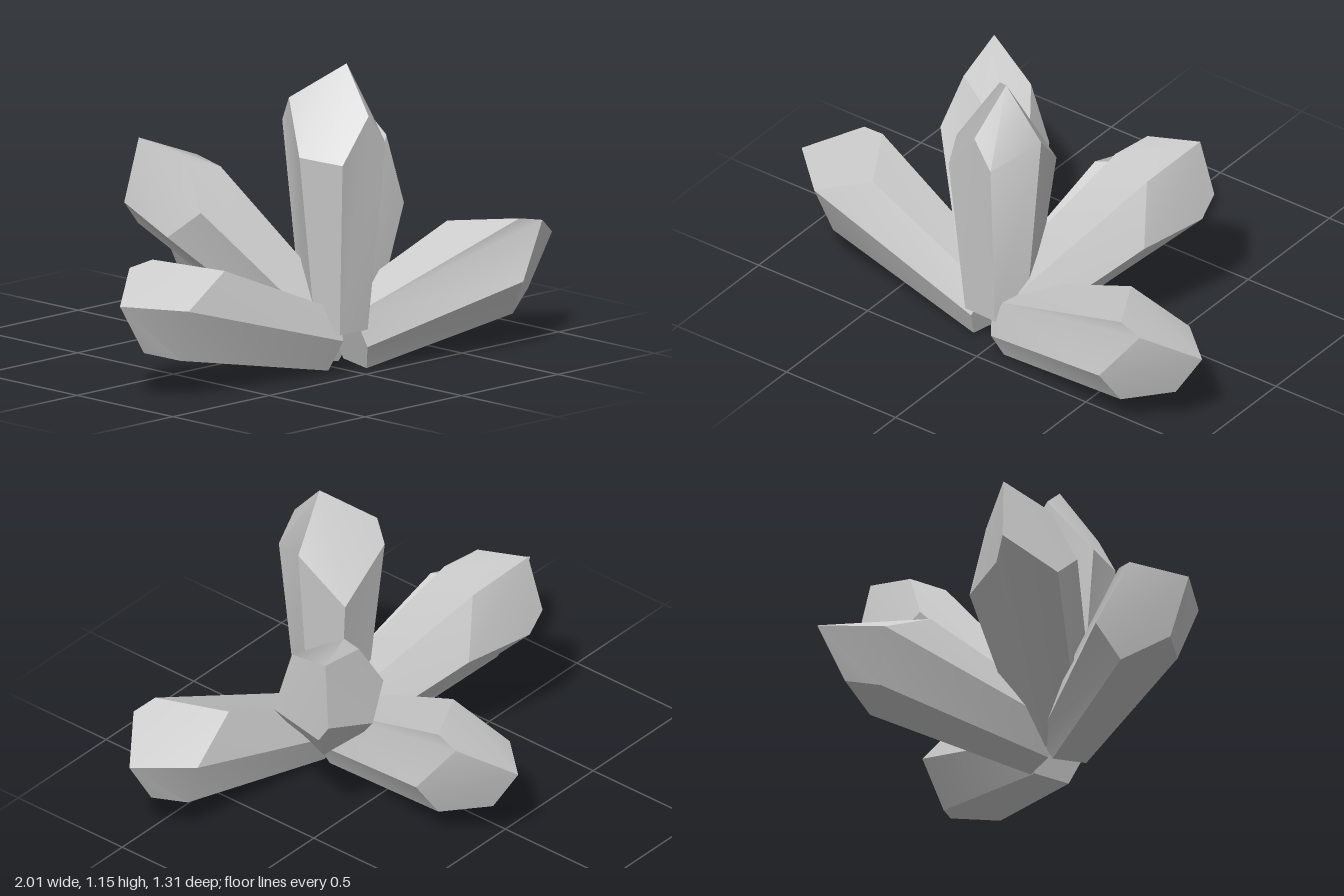
import * as THREE from 'three';
import { toCreasedNormals } from 'three/addons/utils/BufferGeometryUtils.js';

// One hexagonal crystal growing along +y from its root, ending in a three-sided point
function crystalGeometry() {
  const p = {
    tip: [0.035, 1.047, 0.02],
    // shoulders where the three ridges from the tip end
    ridgeRight: [0.18, 0.84, 0], ridgeFront: [0, 0.877, 0.17], ridgeBack: [-0.11, 0.917, -0.135],
    // other upper corners
    fr: [0.08, 0.765, 0.178], fl: [-0.125, 0.707, 0.16], l: [-0.2, 0.727, 0.01],
    bl: [-0.1, 0.825, -0.18], br: [0.12, 0.655, -0.175],
    // narrow foot
    footR: [0.112, 0.055, 0], footFR: [0.052, 0.055, 0.113], footFL: [-0.088, 0.055, 0.108],
    footL: [-0.117, 0.055, 0.01], footBL: [-0.065, 0.055, -0.11], footBR: [0.07, 0.055, -0.11],
  };
  const faces = [
    'tip ridgeRight br bl ridgeBack', 'tip ridgeBack l fl ridgeFront', 'tip ridgeFront fr ridgeRight',
    'footFL footFR fr ridgeFront fl', 'footFR footR ridgeRight fr', 'footR footBR br ridgeRight',
    'footBR footBL bl br', 'footBL footL l ridgeBack bl', 'footL footFL fl l',
    'footR footFR footFL footL footBL footBR',
  ];
  const positions = [];
  for (const face of faces) {
    const c = face.split(' ').map((name) => p[name]);
    for (let i = 1; i < c.length - 1; i++) positions.push(...c[0], ...c[i], ...c[i + 1]);
  }
  const geometry = new THREE.BufferGeometry();
  geometry.setAttribute('position', new THREE.Float32BufferAttribute(positions, 3));
  return toCreasedNormals(geometry, 0.61);
}

export function createModel() {
  const group = new THREE.Group();
  group.name = 'crystalCluster';
  const geometry = crystalGeometry();
  const material = new THREE.MeshStandardMaterial({ color: 0xcccccc });
  const rad = THREE.MathUtils.degToRad;

  // twist about its own axis, lean forward, then turn around the cluster
  const addCrystal = (name, yaw, lean, twist) => {
    const mesh = new THREE.Mesh(geometry, material);
    mesh.name = name;
    mesh.position.set(0, 0.095, 0.345);
    mesh.quaternion.setFromEuler(new THREE.Euler(rad(lean), rad(yaw), 0, 'YXZ'));
    mesh.rotateY(rad(twist));
    group.add(mesh);
  };

  addCrystal('centreCrystal', 0, 0, 0);
  // low crystals at quarter turns
  ['lowLeftCrystal', 'lowBackCrystal', 'lowRightCrystal'].forEach((name, i) =>
    addCrystal(name, 81.3 + 90 * i, 74, 7));
  // raised crystals between them
  ['raisedLeftCrystal', 'raisedRightCrystal'].forEach((name, i) =>
    addCrystal(name, 130 + 90 * i, 46.2, 140));
  return group;
}
